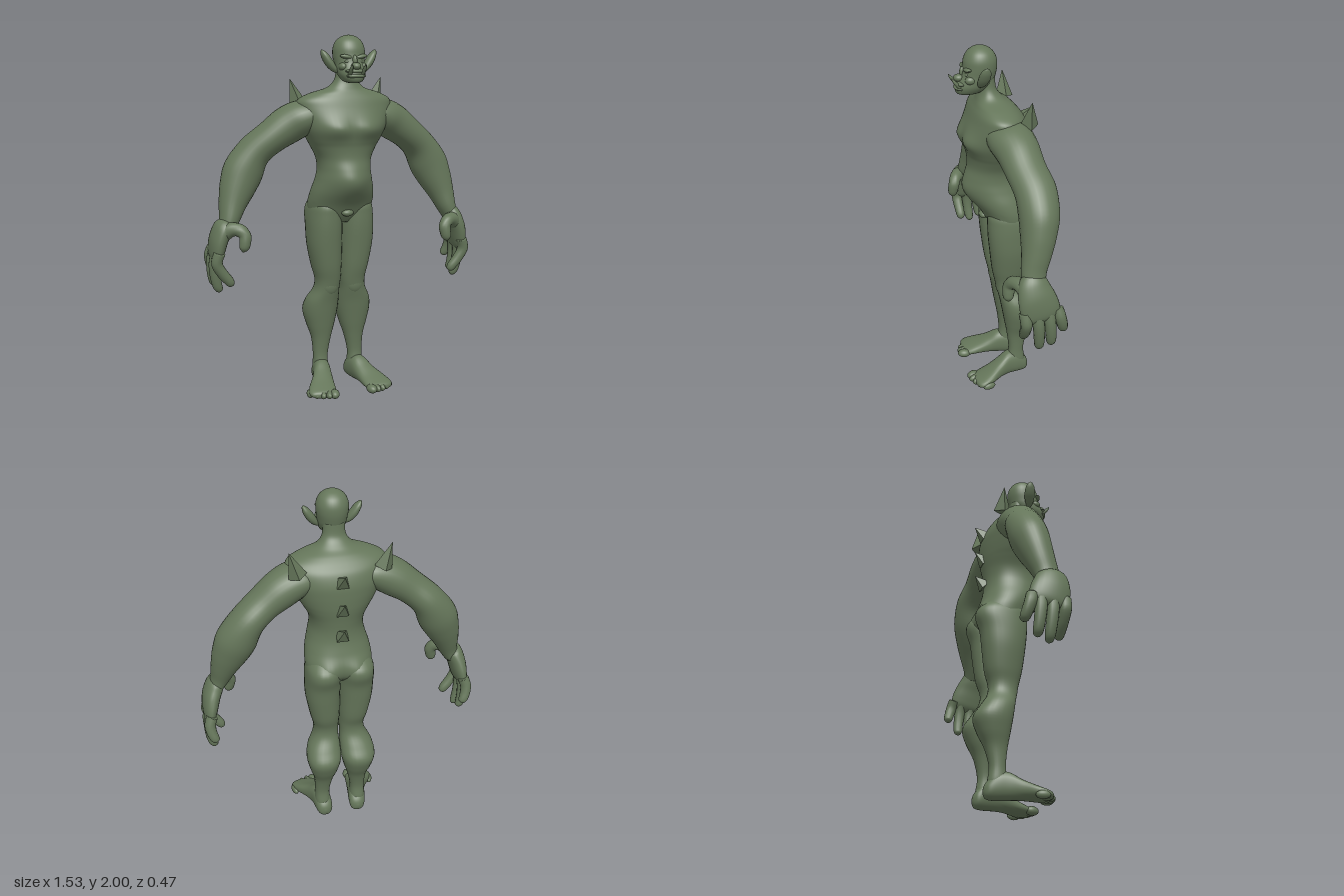
import * as THREE from 'three';

const V = (x, y, z) => new THREE.Vector3(x, y, z);

// Smooth skin through elliptical rings; each ring is [centre, half-axis u, half-axis v]
function loft(rings, { steps = 5, sides = 28, power = 1 } = {}) {
  const keys = rings.map(r => r.flatMap(v => v.toArray()));
  const at = i => keys[Math.max(0, Math.min(keys.length - 1, i))];
  const rows = [];
  for (let i = 0; i < keys.length - 1; i++) {
    for (let k = 0; k < steps; k++) {
      const t = k / steps;
      rows.push(keys[i].map((b, n) => {
        const a = at(i - 1)[n], c = at(i + 1)[n], d = at(i + 2)[n];
        return b + 0.5 * t * (c - a + t * (2 * a - 5 * b + 4 * c - d + t * (3 * (b - c) + d - a)));
      }));
    }
  }
  rows.push(keys[keys.length - 1]);
  const pos = [], idx = [];
  const soft = w => Math.sign(w) * Math.pow(Math.abs(w), power);
  for (const r of rows) {
    for (let j = 0; j < sides; j++) {
      const a = j / sides * Math.PI * 2, c = soft(Math.cos(a)), s = soft(Math.sin(a));
      for (let n = 0; n < 3; n++) pos.push(r[n] + r[3 + n] * c + r[6 + n] * s);
    }
  }
  const last = rows.length - 1, capA = rows.length * sides, capB = capA + 1;
  pos.push(...rows[0].slice(0, 3), ...rows[last].slice(0, 3));
  const [c0, u0, v0] = rings[0];
  const flip = u0.clone().cross(v0).dot(rings[rings.length - 1][0].clone().sub(c0)) < 0;
  const tri = (a, b, c) => flip ? idx.push(a, c, b) : idx.push(a, b, c);
  for (let j = 0; j < sides; j++) {
    const k = (j + 1) % sides;
    for (let i = 0; i < last; i++) {
      const p = i * sides, q = p + sides;
      tri(p + j, p + k, q + k);
      tri(p + j, q + k, q + j);
    }
    tri(capA, k, j);
    tri(capB, last * sides + j, last * sides + k);
  }
  const g = new THREE.BufferGeometry();
  g.setAttribute('position', new THREE.Float32BufferAttribute(pos, 3));
  g.setIndex(idx);
  g.computeVertexNormals();
  return g;
}

// Soft muscle swellings along z, mirrored in x: [x, y, width, height, amount]; the sign picks front or back
function swell(g, bumps) {
  const p = g.attributes.position;
  for (let i = 0; i < p.count; i++) {
    const x = Math.abs(p.getX(i)), y = p.getY(i), z = p.getZ(i);
    let dz = 0;
    for (const [bx, by, w, h, amount] of bumps) {
      if (z * amount > 0) dz += amount * Math.exp(-(((x - bx) / w) ** 2) - ((y - by) / h) ** 2);
    }
    p.setZ(i, z + dz);
  }
  g.computeVertexNormals();
  return g;
}

// Horizontal slices: [y, xMin, xMax, zFront, zBack]
const slices = (rows, s = 1) => rows.map(([y, a, b, f, k]) =>
  [V(s * (a + b) / 2, y, (f + k) / 2), V(s * (b - a) / 2, 0, 0), V(0, 0, (f - k) / 2)]);

// Limb along a path: [x, y, z, radius in the xy plane, radius along z]
function limb(rows, s = 1) {
  const p = rows.map(r => V(s * r[0], r[1], r[2]));
  return rows.map((r, i) => {
    const t = p[Math.min(i + 1, p.length - 1)].clone().sub(p[Math.max(i - 1, 0)]).normalize();
    const v = V(0, 0, 1).addScaledVector(t, -t.z).normalize();
    return [p[i], v.clone().cross(t).multiplyScalar(r[3]), v.multiplyScalar(r[4] ?? r[3])];
  });
}

export function createModel() {
  const model = new THREE.Group();
  model.name = 'ogre';
  const skin = new THREE.MeshStandardMaterial({ color: 0x65765a });
  skin.name = 'mossGreenSkin';
  const add = (name, geo) => {
    const m = new THREE.Mesh(geo, skin);
    m.name = name;
    model.add(m);
    return m;
  };
  const blob = (name, x, y, z, rx, ry, rz, tilt = 0) => {
    const m = add(name, new THREE.SphereGeometry(1, 24, 16));
    m.position.set(x, y, z);
    m.scale.set(rx, ry, rz);
    m.rotation.z = tilt;
    return m;
  };
  const spike = (name, base, tip, r, turn) => {
    const d = tip.clone().sub(base), h = d.length();
    const g = new THREE.ConeGeometry(r, h, 4).toNonIndexed();
    g.rotateY(turn);
    g.computeVertexNormals();
    const m = add(name, g);
    m.position.copy(base).addScaledVector(d, 0.5);
    m.quaternion.setFromUnitVectors(V(0, 1, 0), d.normalize());
  };

  // Torso and neck: [y, half width, front, back], with pectorals, belly and buttocks swelling out
  add('torso', swell(loft(slices([
    [0.975, 0.13, 0.02, -0.15], [1.02, 0.176, 0.052, -0.185], [1.08, 0.186, 0.083, -0.195],
    [1.15, 0.177, 0.122, -0.175], [1.22, 0.157, 0.148, -0.157], [1.28, 0.146, 0.152, -0.152],
    [1.34, 0.153, 0.146, -0.157], [1.4, 0.182, 0.15, -0.166], [1.44, 0.205, 0.158, -0.17],
    [1.5, 0.235, 0.168, -0.172], [1.56, 0.258, 0.16, -0.168], [1.62, 0.27, 0.14, -0.148],
    [1.66, 0.258, 0.125, -0.118], [1.692, 0.195, 0.11, -0.085], [1.722, 0.102, 0.098, -0.045],
    [1.77, 0.063, 0.085, -0.008], [1.84, 0.06, 0.09, 0]
  ].map(([y, w, f, b]) => [y, -w, w, f, b])), { sides: 56, steps: 7, power: 0.92 }), [
    [0.09, 1.505, 0.085, 0.055, 0.026], [0, 1.2, 0.09, 0.09, 0.035], [0.09, 1.035, 0.06, 0.07, -0.032]
  ]));
  blob('groin', 0, 1.035, 0.064, 0.034, 0.02, 0.024);

  // Head
  add('head', loft(slices([
    [1.75, 0.025, 0.185, 0.1], [1.76, 0.05, 0.205, 0.07], [1.79, 0.07, 0.21, 0.03],
    [1.82, 0.077, 0.197, 0.005], [1.85, 0.08, 0.178, -0.005], [1.89, 0.085, 0.168, -0.012],
    [1.93, 0.084, 0.163, -0.01], [1.965, 0.07, 0.146, 0.006], [1.988, 0.044, 0.12, 0.033],
    [1.998, 0.018, 0.095, 0.06], [2, 0.003, 0.08, 0.074]
  ].map(([y, w, f, b]) => [y, -w, w, f, b])), { sides: 36, power: 0.95 }));
  blob('nose', 0, 1.838, 0.188, 0.026, 0.02, 0.03);
  blob('noseBridge', 0, 1.865, 0.17, 0.013, 0.03, 0.016);
  blob('upperLip', 0, 1.812, 0.186, 0.058, 0.013, 0.028);
  blob('lowerLip', 0, 1.787, 0.19, 0.054, 0.012, 0.026);

  for (const s of [1, -1]) {
    const side = s > 0 ? 'left' : 'right';
    const lift = s > 0 ? 0 : 0.03;

    // Face details and ears
    blob(side + 'Brow', s * 0.037, 1.886, 0.152, 0.04, 0.012, 0.02, s * 0.15);
    blob(side + 'Eye', s * 0.036, 1.862, 0.155, 0.016, 0.009, 0.012);
    blob(side + 'Cheek', s * 0.056, 1.835, 0.14, 0.022, 0.022, 0.03, s * 0.4);
    add(side + 'Tusk', loft(limb([
      [0.034, 1.795, 0.19, 0.012], [0.037, 1.818, 0.212, 0.01],
      [0.037, 1.835, 0.226, 0.007], [0.036, 1.85, 0.235, 0.001]
    ], s), { sides: 10 }));
    add(side + 'Ear', loft(limb([
      [0.07, 1.805, 0.095, 0.008, 0.012], [0.09, 1.825, 0.09, 0.018, 0.025],
      [0.115, 1.858, 0.084, 0.023, 0.031], [0.137, 1.893, 0.08, 0.019, 0.027],
      [0.15, 1.915, 0.078, 0.009, 0.014], [0.154, 1.922, 0.078, 0.002, 0.003]
    ], s), { sides: 16 }));

    // Arm
    add(side + 'Arm', loft(limb([
      [0.1, 1.565, -0.015, 0.05, 0.08], [0.165, 1.575, -0.017, 0.08, 0.115],
      [0.235, 1.558, -0.024, 0.098, 0.122],
      [0.31, 1.52, -0.04, 0.102, 0.114], [0.4, 1.457, -0.053, 0.091, 0.107],
      [0.487, 1.382, -0.075, 0.093, 0.108], [0.55, 1.28, -0.075, 0.11, 0.104],
      [0.59, 1.19, -0.06, 0.098, 0.092], [0.625, 1.1, -0.04, 0.074, 0.077],
      [0.65, 1.02, -0.02, 0.054, 0.066], [0.675, 0.96, -0.015, 0.04, 0.06]
    ], s)));

    // Hand, with the right one held slightly higher
    const hand = (name, rows, sides) => add(side + name,
      loft(limb(rows.map(([x, y, ...r]) => [x, y + lift, ...r]), s), { sides }));
    hand('Palm', [
      [0.662, 1.03 - lift, -0.015, 0.02, 0.03], [0.67, 0.995 - lift / 2, -0.012, 0.043, 0.066],
      [0.686, 0.955, -0.01, 0.05, 0.084],
      [0.707, 0.9, -0.02, 0.049, 0.098], [0.719, 0.84, -0.035, 0.043, 0.104],
      [0.724, 0.795, -0.045, 0.032, 0.096], [0.724, 0.765, -0.05, 0.008, 0.06]
    ], 24);
    hand('Thumb', [
      [0.7, 0.92, 0.02, 0.045], [0.652, 0.955, 0.048, 0.04], [0.61, 0.95, 0.075, 0.035],
      [0.589, 0.922, 0.088, 0.033], [0.592, 0.885, 0.094, 0.031], [0.599, 0.855, 0.096, 0.024],
      [0.604, 0.838, 0.096, 0.004]
    ], 14);
    // Finger: base z, tip x, tip y, tip z
    [[0.045, 0.655, 0.64, 0.03], [-0.018, 0.705, 0.595, -0.038],
      [-0.078, 0.712, 0.615, -0.1], [-0.125, 0.705, 0.69, -0.167]].forEach(([z, tx, ty, tz], i) => {
      const y = t => 0.83 + (ty - 0.83) * t, zz = t => z + (tz - z) * t;
      hand('Finger' + (i + 1), [
        [0.72, y(0), zz(0), 0.032], [0.734, y(0.3), zz(0.3), 0.031],
        [(tx + 0.755) / 2, y(0.6), zz(0.6), 0.029], [tx + 0.012, y(0.85), zz(0.85), 0.026],
        [tx, y(0.96), zz(0.96), 0.018], [tx - 0.003, y(1), zz(1), 0.003]
      ], 14);
    });

    // Leg with knee and calf
    add(side + 'Leg', loft(slices([
      [1.12, 0.03, 0.15, 0.03, -0.15], [1.07, 0.004, 0.18, 0.06, -0.212],
      [1.02, -0.004, 0.19, 0.063, -0.226], [0.94, -0.005, 0.192, 0.06, -0.2],
      [0.84, -0.004, 0.187, 0.05, -0.187], [0.72, -0.002, 0.165, 0.035, -0.17],
      [0.64, 0.002, 0.146, 0.018, -0.146], [0.58, 0.006, 0.152, 0.006, -0.152],
      [0.51, 0.001, 0.188, -0.01, -0.195], [0.44, 0.002, 0.198, -0.022, -0.233],
      [0.36, 0.02, 0.18, -0.036, -0.21], [0.28, 0.044, 0.156, -0.05, -0.17],
      [0.18, 0.064, 0.148, -0.06, -0.146], [0.1, 0.062, 0.15, -0.05, -0.155],
      [0.05, 0.07, 0.14, -0.06, -0.15]
    ], s), { power: 0.88 }));
    blob(side + 'Knee', s * 0.076, 0.61, -0.02, 0.052, 0.065, 0.032);

    // Foot: [z, centre x, half width, bottom, top]
    add(side + 'Foot', loft([
      [-0.176, 0.1, 0.006, 0.045, 0.06], [-0.168, 0.1, 0.028, 0.022, 0.085],
      [-0.15, 0.1, 0.044, 0.01, 0.11], [-0.11, 0.105, 0.05, 0.007, 0.15],
      [-0.05, 0.115, 0.052, 0.01, 0.155], [0.01, 0.133, 0.061, 0.012, 0.118],
      [0.07, 0.156, 0.075, 0.008, 0.085], [0.12, 0.168, 0.08, 0.006, 0.063],
      [0.15, 0.168, 0.068, 0.008, 0.05], [0.163, 0.16, 0.04, 0.012, 0.04]
    ].map(([z, x, w, low, top]) =>
      [V(s * x, (low + top) / 2, z), V(s * w, 0, 0), V(0, (top - low) / 2, 0)]), { power: 0.88 }));
    for (let i = 0; i < 5; i++) {
      const toe = blob(side + 'Toe' + (i + 1), s * (0.112 + i * 0.031), 0.027 - i * 0.001,
        0.16 - i * i * 0.004, i ? 0.019 : 0.027, i ? 0.022 : 0.025, 0.038);
      toe.rotation.y = s * 0.2;
    }

    spike(side + 'ShoulderSpike', V(s * 0.225, 1.63, -0.12), V(s * 0.27, 1.768, -0.122), 0.05, 0);
  }

  // Spikes down the spine
  [[1.58, 1.64], [1.415, 1.475], [1.26, 1.32]].forEach(([y, tip], i) =>
    spike('spineSpike' + (i + 1), V(0, y, -0.15), V(0, tip, -0.215 + i * 0.003), 0.045, Math.PI / 4));

  return model;
}
